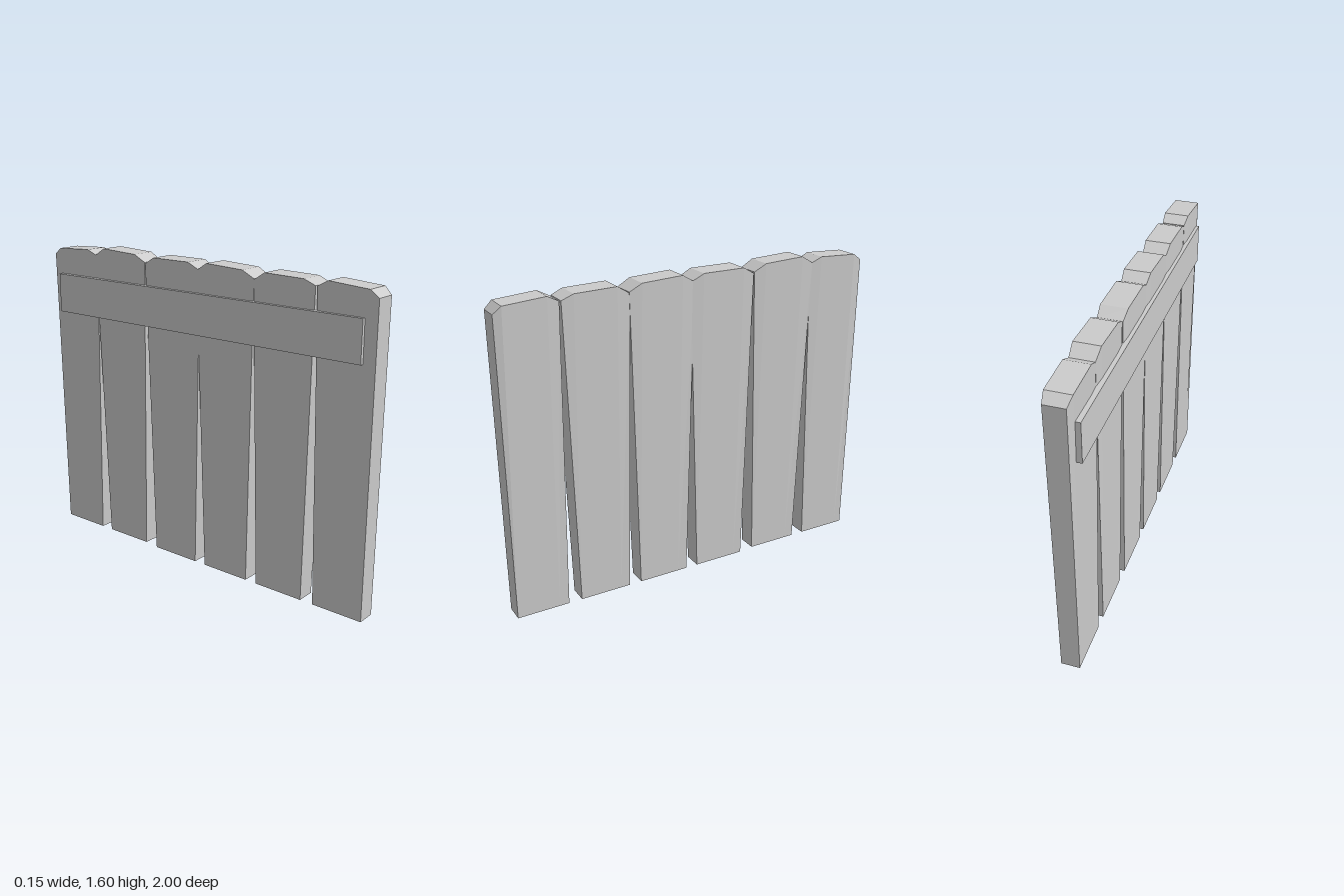
import * as THREE from 'three';

const material = new THREE.MeshStandardMaterial({ color: 0xcccccc, flatShading: true });

// Each plank: bottom height, bottom z range, then the four [z, y] points of its clipped top
const planks = [
  { y: 0, foot: [0.99, 0.72], top: [[1.0, 1.53], [0.96, 1.565], [0.75, 1.58], [0.693, 1.55]] },
  { y: 0, foot: [0.65, 0.38], top: [[0.685, 1.55], [0.625, 1.575], [0.41, 1.58], [0.347, 1.54]] },
  { y: 0, foot: [0.315, 0.045], top: [[0.35, 1.545], [0.285, 1.58], [0.07, 1.59], [0.005, 1.55]] },
  { y: 0, foot: [-0.02, -0.295], top: [[0.025, 1.55], [-0.045, 1.585], [-0.27, 1.585], [-0.33, 1.55]] },
  { y: 0.008, foot: [-0.37, -0.64], top: [[-0.335, 1.555], [-0.4, 1.59], [-0.62, 1.6], [-0.685, 1.56]] },
  { y: 0.008, foot: [-0.71, -0.98], top: [[-0.672, 1.555], [-0.74, 1.585], [-0.95, 1.575], [-1.0, 1.54]] },
];

// Tapered board: a box of three strips, widening and bulging a little towards the top
function plankGeometry({ y, foot, top }, index) {
  const geometry = new THREE.BoxGeometry(1, 1, 1, 1, 1, 3);
  const p = geometry.attributes.position;
  const outward = 0.004 * (1 - Math.abs(index - 2.5) / 2.5); // middle boards are slightly thicker
  for (let i = 0; i < p.count; i++) {
    const column = Math.round((0.5 - p.getZ(i)) * 3);
    const side = Math.sign(p.getX(i));
    const inner = column === 1 || column === 2;
    if (p.getY(i) > 0) {
      const outerEnd = (index === 0 && column === 0) || (index === 5 && column === 3);
      const half = (inner ? 0.062 : outerEnd ? 0.052 : 0.057) + outward;
      p.setXYZ(i, 0.005 + side * half, top[column][1], top[column][0]);
    } else {
      const t = (top[column][0] - top[0][0]) / (top[3][0] - top[0][0]);
      p.setXYZ(i, 0.0075 + side * 0.0475, y, foot[0] + (foot[1] - foot[0]) * t);
    }
  }
  geometry.computeVertexNormals();
  return geometry;
}

// Cross rail, a touch further out at its back end
function railGeometry() {
  const geometry = new THREE.BoxGeometry(0.04, 0.205, 1.88);
  const p = geometry.attributes.position;
  for (let i = 0; i < p.count; i++) {
    p.setX(i, p.getX(i) - 0.056 + 0.004 * p.getZ(i) / 0.94);
  }
  geometry.translate(0, 1.338, 0);
  geometry.computeVertexNormals();
  return geometry;
}

export function createModel() {
  const fence = new THREE.Group();
  fence.name = 'fencePanel';
  planks.forEach((plank, i) => {
    const mesh = new THREE.Mesh(plankGeometry(plank, i), material);
    mesh.name = `plank${i + 1}`;
    fence.add(mesh);
  });
  const rail = new THREE.Mesh(railGeometry(), material);
  rail.name = 'crossRail';
  fence.add(rail);
  return fence;
}
